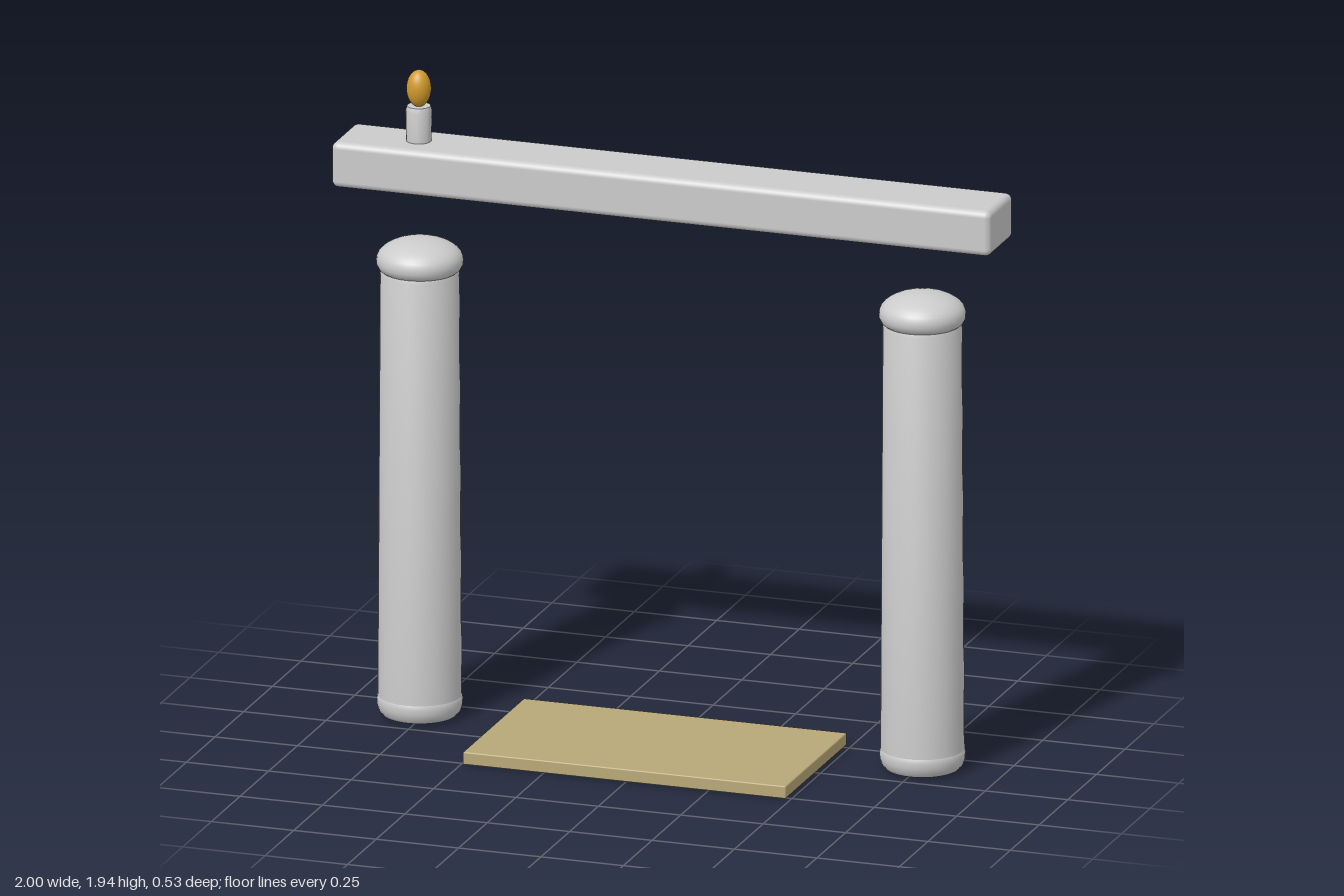
import * as THREE from 'three';
import { RoundedBoxGeometry } from 'three/addons/geometries/RoundedBoxGeometry.js';
import { toCreasedNormals } from 'three/addons/utils/BufferGeometryUtils.js';

const AXIS_Z = -0.142;
const grey = new THREE.MeshStandardMaterial({ color: 0xcccccc });
const sandstone = new THREE.MeshStandardMaterial({ color: 0xb8a878 });
const gold = new THREE.MeshStandardMaterial({ color: 0xd09a2c });

function addMesh(parent, name, geometry, material, x, y, z) {
  const mesh = new THREE.Mesh(geometry, material);
  mesh.name = name;
  mesh.position.set(x, y, z);
  parent.add(mesh);
  return mesh;
}

// Closed turned solid from [radius, height] pairs, listed bottom to top
function turned(profile, segments = 40) {
  const points = profile.map(([r, y]) => new THREE.Vector2(r, y));
  return toCreasedNormals(new THREE.LatheGeometry(points, segments), 0.6);
}

function createColumn(name, x) {
  const column = new THREE.Group();
  column.name = name;
  column.position.set(x, 0, AXIS_Z);

  // Rounded foot
  addMesh(column, 'columnBase', turned([
    [0, 0], [0.092, 0], [0.108, 0.006], [0.118, 0.018], [0.123, 0.035],
    [0.124, 0.05], [0.122, 0.062], [0.117, 0.07], [0, 0.07],
  ]), grey, 0, 0, 0);

  // Slightly tapering shaft
  addMesh(column, 'columnShaft', turned([
    [0, 0.05], [0.122, 0.05], [0.121, 0.075], [0.114, 1.33], [0.108, 1.345], [0, 1.345],
  ]), grey, 0, 0, 0);

  // Domed cap with a bevelled underside
  const cap = [[0, 1.335], [0.105, 1.335], [0.118, 1.345], [0.125, 1.36], [0.125, 1.372]];
  for (let i = 1; i <= 10; i++) {
    const a = (i / 10) * Math.PI / 2;
    cap.push([0.125 * Math.cos(a), 1.372 + 0.062 * Math.sin(a)]);
  }
  addMesh(column, 'columnCap', turned(cap), grey, 0, 0, 0);
  return column;
}

export function createModel() {
  const model = new THREE.Group();
  model.name = 'gateway';

  // Floor slab
  addMesh(model, 'floorSlab', new RoundedBoxGeometry(0.98, 0.038, 0.532, 2, 0.004),
    sandstone, -0.003, 0.021, 0);

  // Pair of columns
  model.add(createColumn('rightColumn', -0.765), createColumn('leftColumn', 0.76));

  // Beam across the top
  addMesh(model, 'beam', new RoundedBoxGeometry(2, 0.136, 0.208, 4, 0.02),
    grey, 0, 1.66, AXIS_Z);

  // Candle with its flame
  const candle = new THREE.Group();
  candle.name = 'candle';
  candle.position.set(-0.768, 0, AXIS_Z);
  model.add(candle);
  addMesh(candle, 'candleStick', turned([
    [0, 1.72], [0.036, 1.72], [0.038, 1.82], [0.034, 1.833], [0, 1.833],
  ], 24), grey, 0, 0, 0);
  addMesh(candle, 'flame', new THREE.SphereGeometry(1, 24, 16), gold, 0, 1.885, 0)
    .scale.set(0.036, 0.055, 0.036);

  return model;
}
